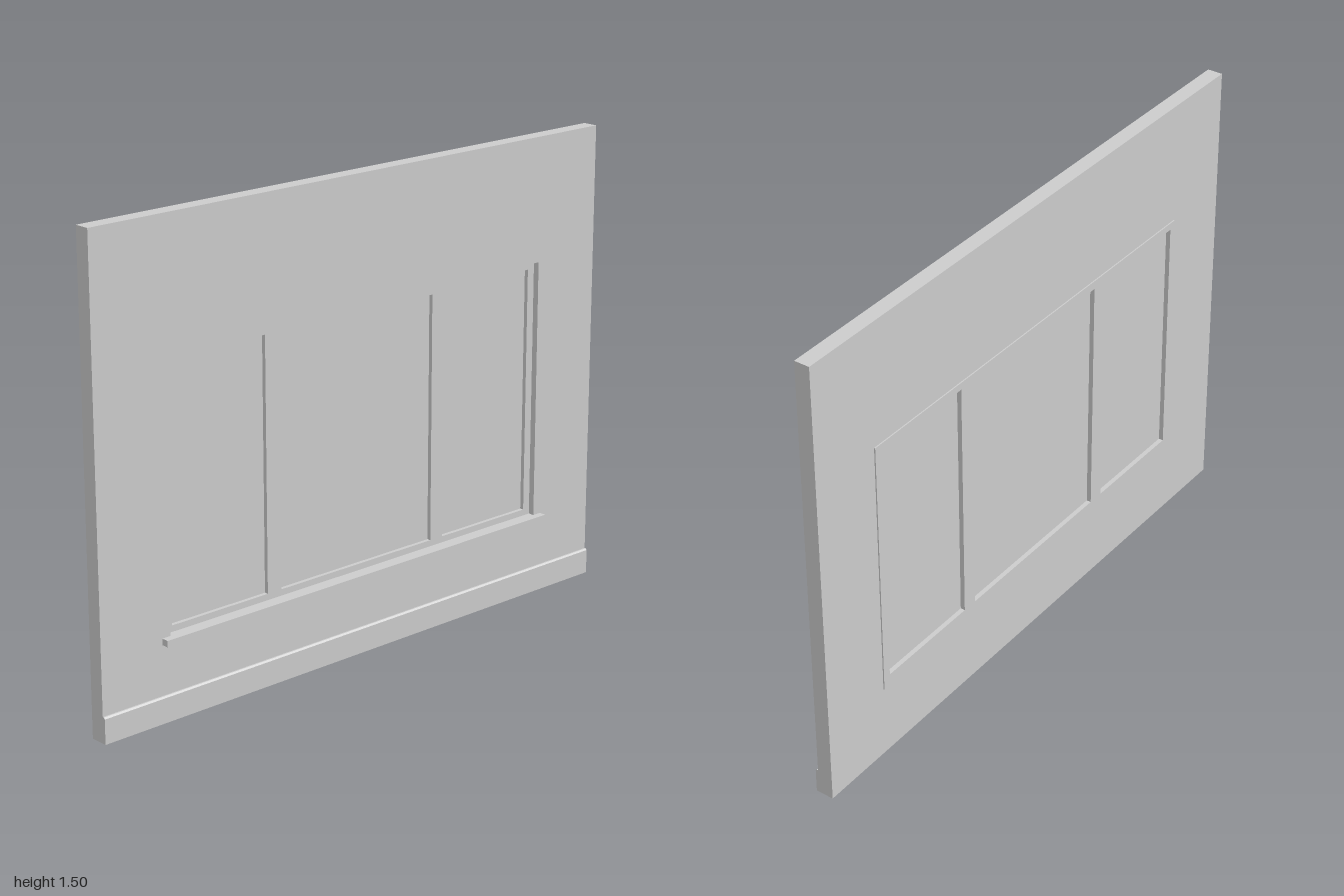
import * as THREE from 'three';

const material = new THREE.MeshStandardMaterial({ color: 0xcccccc, flatShading: true });

// Rectangle corners, counter-clockwise
const corners = (x0, x1, y0, y1) =>
  [[x0, y0], [x1, y0], [x1, y1], [x0, y1]].map(([x, y]) => new THREE.Vector2(x, y));

// Flat panel with rectangular openings, spanning z0 to z1
function panel(name, outer, openings, z0, z1) {
  const shape = new THREE.Shape(corners(...outer));
  for (const o of openings) shape.holes.push(new THREE.Path(corners(...o).reverse()));
  const geometry = new THREE.ExtrudeGeometry(shape, { depth: z1 - z0, bevelEnabled: false });
  geometry.translate(0, 0, z0);
  const mesh = new THREE.Mesh(geometry, material);
  mesh.name = name;
  return mesh;
}

export function createModel() {
  const model = new THREE.Group();
  model.name = 'wallWithWindow';

  const opening = [-0.75, 0.75, 0.24, 1.1];
  const panes = [
    [-0.727, -0.364, 0.28, 1.077],
    [-0.31, 0.306, 0.28, 1.073],
    [0.358, 0.723, 0.28, 1.077],
  ];

  // Wall with the window opening
  model.add(panel('wall', [-1, 1, 0, 1.5], [opening], -0.035, 0.015));

  // Frame, set back from the front and just proud of the rear
  model.add(panel('windowFrame', opening, panes, -0.039, -0.005));

  // Thin panes in the middle of the frame
  const names = ['rightPane', 'middlePane', 'leftPane'];
  panes.forEach((pane, i) => model.add(panel(names[i], pane, [], -0.024, -0.018)));

  // Projecting sill
  model.add(panel('sill', [-0.78, 0.78, 0.24, 0.26], [], 0.015, 0.039));
  model.add(panel('sillInner', [-0.75, 0.75, 0.24, 0.26], [], -0.005, 0.015));

  // Skirting board with a small chamfer along its top edge
  const profile = new THREE.Shape(
    [[0.015, 0], [0.024, 0], [0.024, 0.078], [0.02, 0.083], [0.015, 0.083]]
      .map(([z, y]) => new THREE.Vector2(-z, y)));
  const board = new THREE.ExtrudeGeometry(profile, { depth: 2, bevelEnabled: false });
  board.translate(0, 0, -1).rotateY(Math.PI / 2);
  const skirting = new THREE.Mesh(board, material);
  skirting.name = 'skirtingBoard';
  model.add(skirting);

  return model;
}
